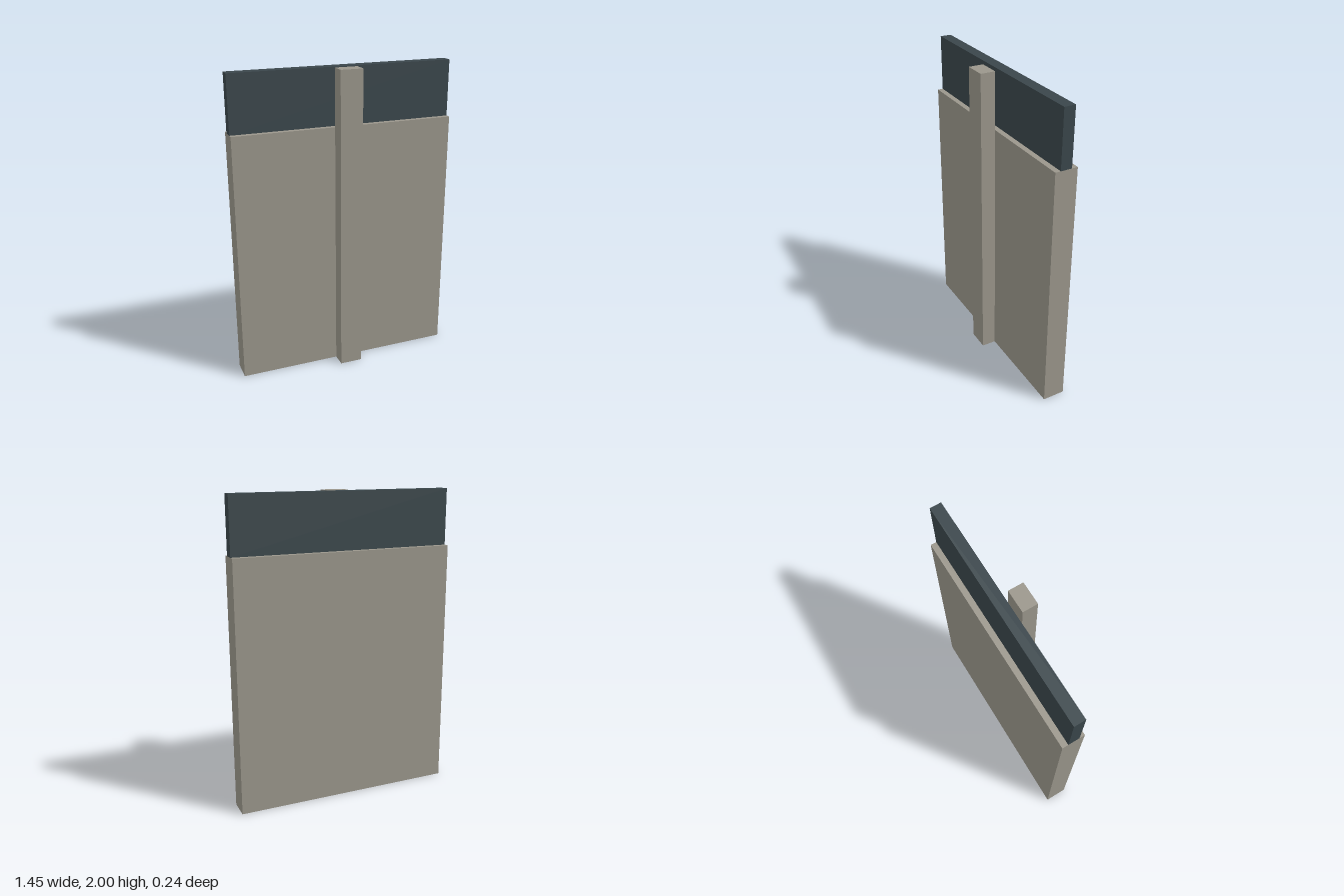
import * as THREE from 'three';

export function createModel() {
  const group = new THREE.Group();
  const stone = new THREE.MeshStandardMaterial({ color: 0x9a968b });
  stone.name = 'warm grey';
  const slate = new THREE.MeshStandardMaterial({ color: 0x3a464b });
  slate.name = 'dark slate';

  // Box given by its minimum and maximum corners
  const box = (name, material, [x0, y0, z0], [x1, y1, z1]) => {
    const mesh = new THREE.Mesh(new THREE.BoxGeometry(x1 - x0, y1 - y0, z1 - z0), material);
    mesh.position.set((x0 + x1) / 2, (y0 + y1) / 2, (z0 + z1) / 2);
    mesh.name = name;
    group.add(mesh);
  };

  // Main wall slab
  box('wallPanel', stone, [-0.727, 0, -0.12], [0.727, 1.636, 0.025]);
  // Thinner dark band standing on the wall
  box('upperPanel', slate, [-0.727, 1.636, -0.082], [0.727, 2, -0.01]);
  // Full-height post on the front face
  box('frontPost', stone, [-0.073, 0, 0.025], [0.073, 2, 0.12]);

  return group;
}
